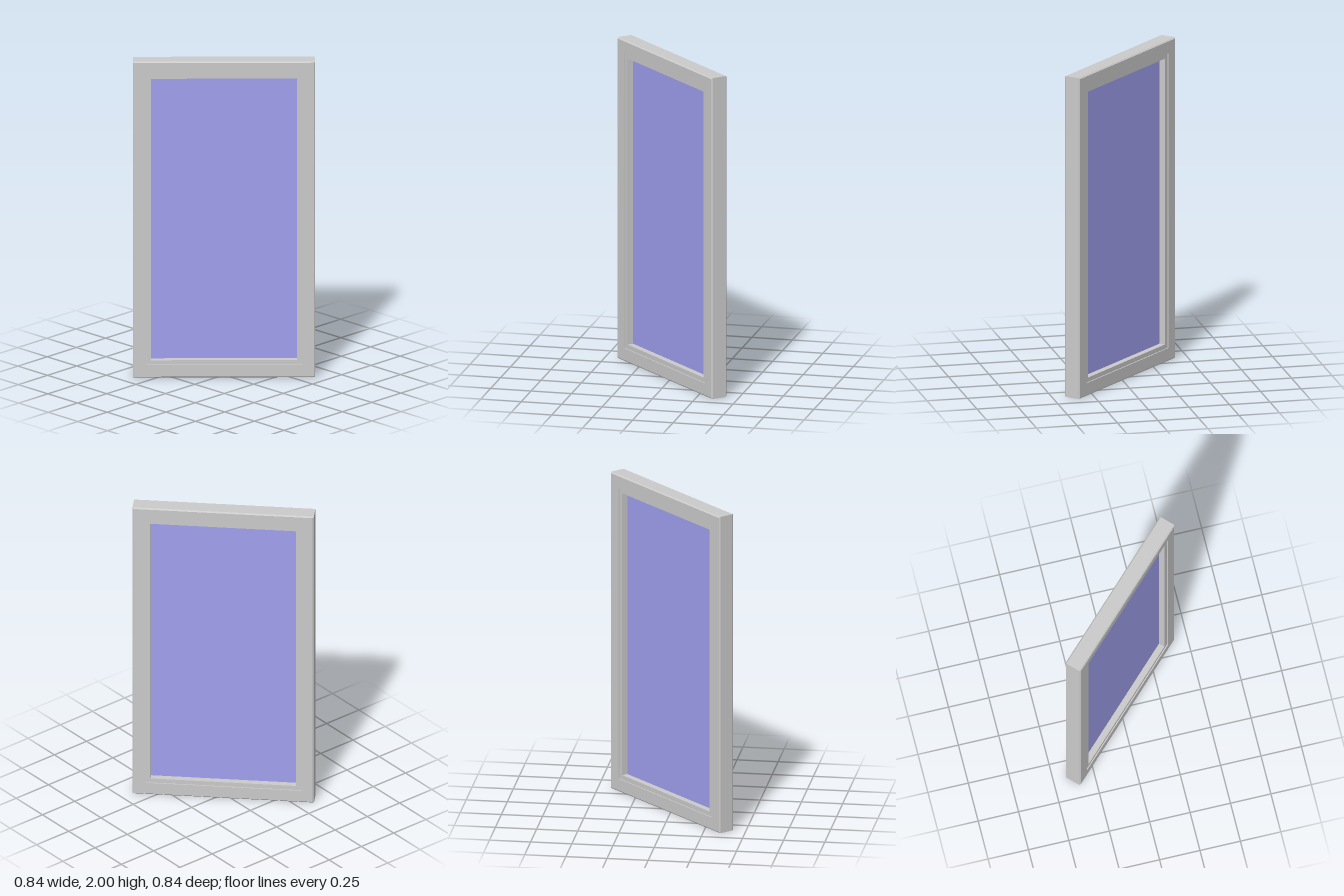
import * as THREE from 'three';

const HALF_W = 0.548, HALF_H = 1, HALF_D = 0.053; // outer half sizes
const BEVEL = 0.007, REBATE = 0.081, OPENING = 0.109, STEP = 0.007;

// Sweep a closed [inset, z] profile around a rectangle with mitred corners
function mitredFrame(profile) {
  const corners = [[-1, -1], [1, -1], [1, 1], [-1, 1]];
  const point = ([sx, sy], [inset, z]) => [sx * (HALF_W - inset), sy * (HALF_H - inset), z];
  const pos = [];
  for (let c = 0; c < 4; c++) {
    const c0 = corners[c], c1 = corners[(c + 1) % 4];
    for (let i = 0; i < profile.length; i++) {
      const p = profile[i], q = profile[(i + 1) % profile.length];
      const a = point(c0, p), b = point(c1, p), d = point(c1, q), e = point(c0, q);
      pos.push(...a, ...b, ...d, ...a, ...d, ...e);
    }
  }
  const geo = new THREE.BufferGeometry();
  geo.setAttribute('position', new THREE.Float32BufferAttribute(pos, 3));
  geo.computeVertexNormals();
  return geo;
}

export function createModel() {
  const model = new THREE.Group();
  model.name = 'window';

  // Frame: bevelled outer edges, shallow rebate around the opening, front and back
  const half = [
    [0, HALF_D - BEVEL],
    [BEVEL, HALF_D],
    [REBATE, HALF_D],
    [REBATE, HALF_D - STEP],
    [OPENING, HALF_D - STEP],
  ];
  const profile = [...half, ...half.map(([i, z]) => [i, -z]).reverse()];
  const frame = new THREE.Mesh(
    mitredFrame(profile),
    new THREE.MeshStandardMaterial({ color: 0xcccccc, flatShading: true })
  );
  frame.name = 'frame';

  // Glass pane in the middle of the frame's depth
  const pane = new THREE.Mesh(
    new THREE.BoxGeometry(2 * (HALF_W - OPENING), 2 * (HALF_H - OPENING), 0.015),
    new THREE.MeshStandardMaterial({ color: 0xa0a0f0 })
  );
  pane.name = 'glassPane';

  model.add(frame, pane);
  // The window stands diagonally
  model.rotation.y = Math.PI / 4;
  model.position.y = HALF_H;

  const root = new THREE.Group();
  root.name = 'windowModel';
  root.add(model);
  return root;
}
